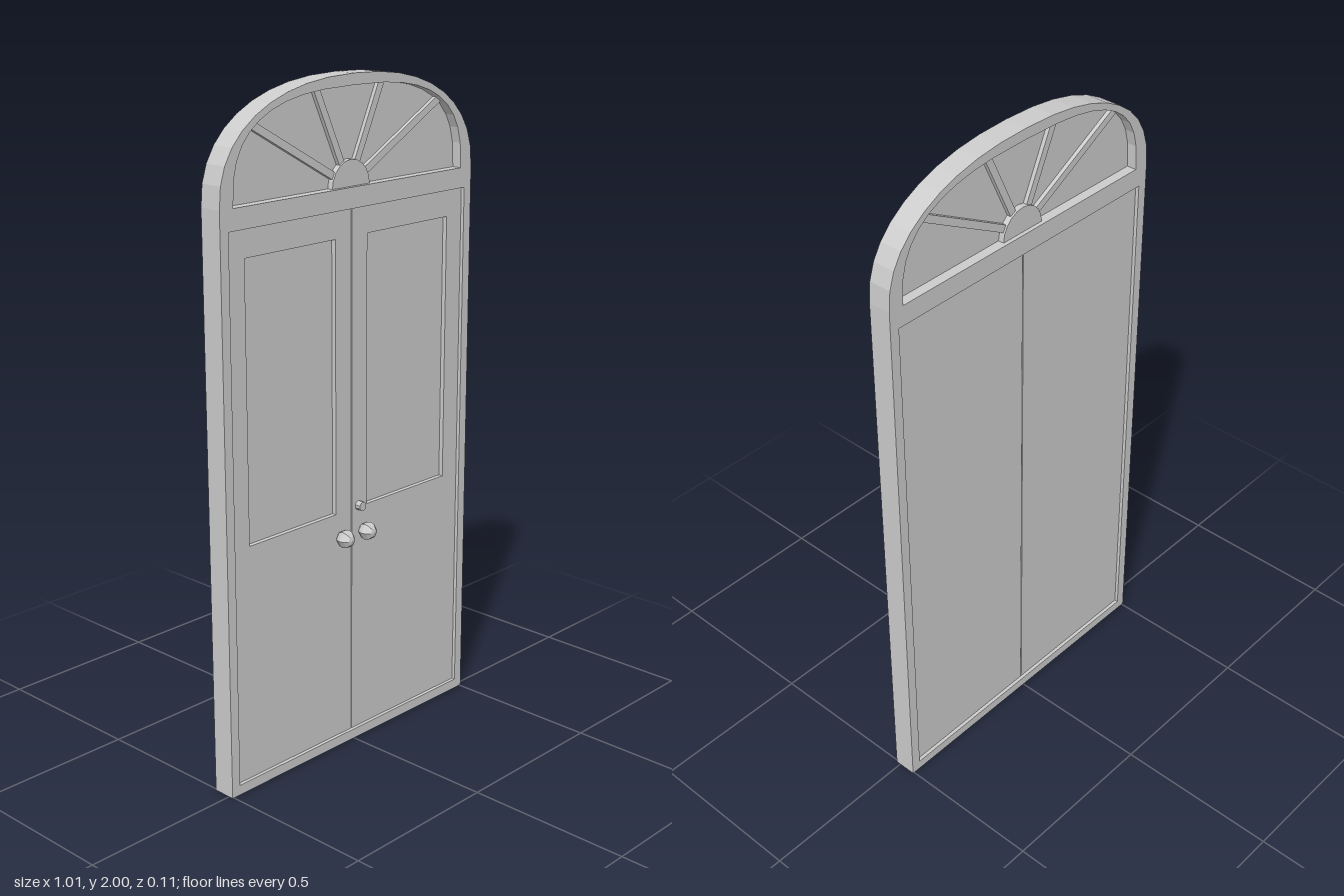
import * as THREE from 'three';

const mat = new THREE.MeshStandardMaterial({ color: 0xcccccc, flatShading: true });
const SPRING = 1.69; // height where the arch begins

// Rounded arch from +x over the top to -x
function archPoints(halfWidth, rise, power, n = 20) {
  const pts = [];
  for (let i = 0; i <= n; i++) {
    const a = (Math.PI * i) / n, c = Math.cos(a), s = Math.sin(a);
    pts.push(new THREE.Vector2(
      halfWidth * Math.sign(c) * Math.pow(Math.abs(c), 2 / power),
      SPRING + rise * Math.pow(Math.max(s, 0), 2 / power)));
  }
  return pts;
}

function rectPoints(x0, x1, y0, y1) {
  return [[x0, y0], [x1, y0], [x1, y1], [x0, y1]].map(p => new THREE.Vector2(...p));
}

// Flat plate between two depths, with optional holes
function plate(name, outline, z0, z1, holes = []) {
  const shape = new THREE.Shape(outline);
  holes.forEach(h => shape.holes.push(new THREE.Path(h)));
  const geo = new THREE.ExtrudeGeometry(shape, { depth: z1 - z0, bevelEnabled: false });
  geo.translate(0, 0, z0);
  const mesh = new THREE.Mesh(geo, mat);
  mesh.name = name;
  return mesh;
}

export function createModel() {
  const model = new THREE.Group();
  model.name = 'archedDoubleDoor';

  // Frame with a door opening and a fanlight opening
  const fanOutline = archPoints(0.457, 0.278, 2.8);
  const outer = [new THREE.Vector2(-0.505, 0), new THREE.Vector2(0.505, 0), ...archPoints(0.505, 0.31, 2.3)];
  model.add(plate('frame', outer, -0.055, 0.015, [rectPoints(-0.475, 0.475, 0.03, 1.63), fanOutline]));

  // Fanlight: pane, half-round hub and radiating bars
  const fanlight = new THREE.Group();
  fanlight.name = 'fanlight';
  fanlight.add(plate('fanlightPane', fanOutline, -0.025, -0.015));
  const hub = [];
  for (let i = 0; i <= 10; i++) {
    const a = (Math.PI * i) / 10;
    hub.push(new THREE.Vector2(0.075 * Math.cos(a), SPRING + 0.075 * Math.sin(a)));
  }
  fanlight.add(plate('fanlightHub', hub, -0.043, 0.003));
  for (const [deg, end] of [[29, 0.437], [65, 0.304], [115, 0.304], [151, 0.437]]) {
    const a = THREE.MathUtils.degToRad(deg), start = 0.06, mid = (start + end) / 2;
    const bar = new THREE.Mesh(new THREE.BoxGeometry(end - start, 0.022, 0.034), mat);
    bar.position.set(mid * Math.cos(a), SPRING + mid * Math.sin(a), -0.02);
    bar.rotation.z = a;
    bar.name = 'fanlightBar';
    fanlight.add(bar);
  }
  model.add(fanlight);

  // Two leaves, each with a recessed front panel, plain back and a knob
  for (const side of [-1, 1]) {
    const leaf = new THREE.Group();
    leaf.name = side > 0 ? 'leftLeaf' : 'rightLeaf';
    const span = (a, b, y0, y1) => side > 0 ? rectPoints(a, b, y0, y1) : rectPoints(-b, -a, y0, y1);
    const outline = span(0.0015, 0.475, 0.03, 1.63);
    leaf.add(plate('leafFront', outline, -0.01, 0.004, [span(0.065, 0.41, 0.74, 1.55)]));
    leaf.add(plate('leafBack', outline, -0.044, -0.01));

    const knob = new THREE.Mesh(new THREE.SphereGeometry(0.028, 6, 6).rotateX(Math.PI / 2), mat);
    knob.position.set(side * 0.047, 0.665, 0.026);
    knob.name = 'knob';
    leaf.add(knob);
    model.add(leaf);
  }

  // Lock above the knob on one leaf
  const lock = new THREE.Mesh(new THREE.CylinderGeometry(0.014, 0.014, 0.022, 10).rotateX(Math.PI / 2), mat);
  lock.position.set(0.03, 0.745, 0.012);
  lock.name = 'lock';
  model.add(lock);

  return model;
}
